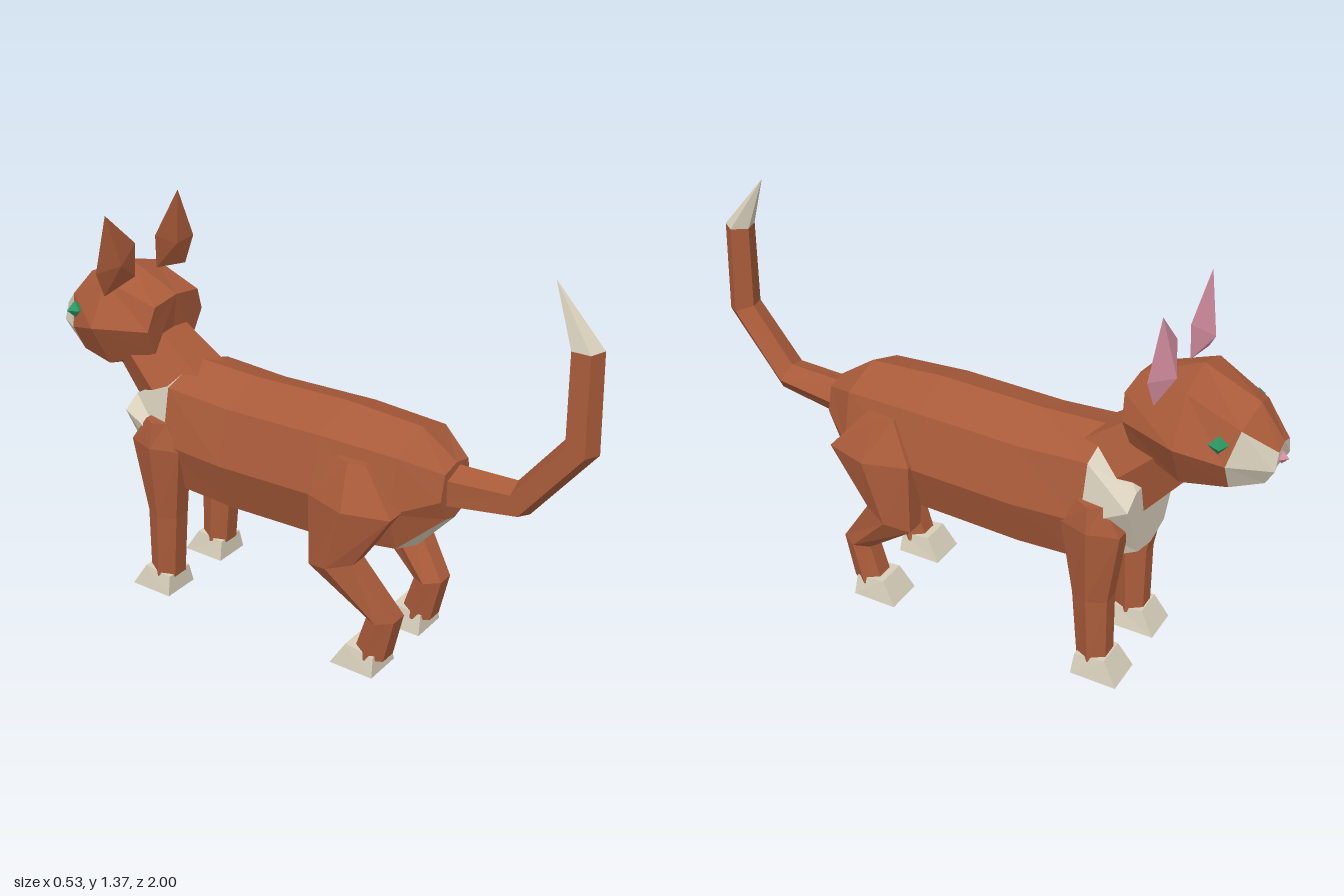
import * as THREE from 'three';

const paint = (name, color) => {
  const m = new THREE.MeshStandardMaterial({ color });
  m.name = name;
  return m;
};

// Closed faceted skin through rings of equal length; pick(i, j) gives the material index
// of side j in segment i (caps: i = -1 at the start, i = -2 at the end)
function loft(name, rings, mats, pick = () => 0) {
  const tris = [];
  const n = rings[0].length, last = rings.length - 1;
  const add = (a, b, c, m) => tris.push({ p: [a, b, c], m });
  for (let i = 0; i < last; i++) {
    for (let j = 0; j < n; j++) {
      const k = (j + 1) % n, m = pick(i, j);
      add(rings[i][j], rings[i][k], rings[i + 1][k], m);
      add(rings[i][j], rings[i + 1][k], rings[i + 1][j], m);
    }
  }
  for (let j = 1; j < n - 1; j++) {
    add(rings[0][0], rings[0][j + 1], rings[0][j], pick(-1, j));
    add(rings[last][0], rings[last][j], rings[last][j + 1], pick(-2, j));
  }
  // Turn every face outward using the enclosed volume
  let volume = 0;
  for (const t of tris) volume += t.p[0].dot(t.p[1].clone().cross(t.p[2]));
  const geo = new THREE.BufferGeometry();
  const points = [];
  mats.forEach((_, m) => {
    const start = points.length;
    for (const t of tris) {
      const area = t.p[1].clone().sub(t.p[0]).cross(t.p[2].clone().sub(t.p[0])).length();
      if (t.m !== m || area < 1e-7) continue;
      points.push(...(volume < 0 ? [t.p[0], t.p[2], t.p[1]] : t.p));
    }
    geo.addGroup(start, points.length - start, m);
  });
  geo.setFromPoints(points);
  geo.computeVertexNormals();
  const mesh = new THREE.Mesh(geo, mats.length > 1 ? mats : mats[0]);
  mesh.name = name;
  return mesh;
}

const V = (x, y, z) => new THREE.Vector3(x, y, z);

// Regular ring: rx across x, rv along a direction tilted up from +z
function ring(n, x, y, z, rx, rv, tilt = 0) {
  return Array.from({ length: n }, (_, i) => {
    const a = (i / n) * Math.PI * 2, v = rv * Math.sin(a);
    return V(x + rx * Math.cos(a), y + v * Math.sin(tilt), z + v * Math.cos(tilt));
  });
}

// Mirrored eight-point ring from top, shoulder, side, low and bottom points [x, y, dz]
function section(z, half) {
  const right = half.map(([x, y, dz = 0]) => V(x, y, z + dz));
  const left = right.slice(1, 4).reverse().map((p) => V(-p.x, p.y, p.z));
  return [...right, ...left];
}

export function createModel() {
  const fur = paint('russet fur', 0xa95b3a);
  const cream = paint('cream fur', 0xd8cfbb);
  const pink = paint('pink skin', 0xd68fa2);
  const green = paint('green eyes', 0x2a9862);
  const cat = new THREE.Group();
  cat.name = 'cat';

  // Body with cream belly and chest
  cat.add(loft('body', [
    section(0.555, [[0, 0.73], [0.07, 0.715], [0.09, 0.63], [0.05, 0.555], [0, 0.54]]),
    section(0.43, [[0, 0.815], [0.145, 0.765], [0.18, 0.59], [0.135, 0.45], [0, 0.4]]),
    section(0.16, [[0, 0.83], [0.16, 0.772], [0.205, 0.585], [0.145, 0.412], [0, 0.355]]),
    section(-0.2, [[0, 0.82], [0.16, 0.762], [0.205, 0.575], [0.145, 0.4], [0, 0.34]]),
    section(-0.44, [[0, 0.828], [0.16, 0.775], [0.2, 0.585], [0.145, 0.412], [0, 0.355]]),
    section(-0.595, [[0, 0.7], [0.14, 0.71], [0.2, 0.67], [0.1, 0.47], [0, 0.445]]),
  ], [fur, cream], (i, j) => (i === 4 || i === -2 || (i >= 0 && (j === 3 || j === 4)) ? 1 : 0)));

  // Neck
  cat.add(loft('neck', [
    ring(6, 0, 0.695, -0.48, 0.15, 0.168, 0.71),
    ring(6, 0, 0.85, -0.65, 0.12, 0.135, 0.8),
  ], [fur]));

  // Head with cream muzzle
  cat.add(loft('head', [
    section(-0.535, [[0, 1.035, 0.01], [0.11, 1.02, 0.01], [0.14, 0.94], [0.1, 0.85, -0.01], [0, 0.84, -0.02]]),
    section(-0.72, [[0, 1.12], [0.13, 1.08], [0.21, 0.935], [0.13, 0.785], [0, 0.75]]),
    section(-0.87, [[0, 1.04, -0.03], [0.11, 0.995, -0.015], [0.15, 0.89, 0.01], [0.1, 0.795, 0.01], [0, 0.77]]),
    section(-0.98, [[0, 0.935], [0.045, 0.92], [0.065, 0.865], [0.05, 0.81, 0.03], [0, 0.795, 0.04]]),
  ], [fur, cream], (i, j) => (i === -2 || (i === 2 && j > 0 && j < 7) ? 1 : 0)));

  // Nose
  const nose = new THREE.Mesh(new THREE.OctahedronGeometry(0.022), pink);
  nose.name = 'nose';
  nose.position.set(0, 0.88, -0.977);
  cat.add(nose);

  // Tail and tip
  const tailEnd = ring(5, 0, 1.19, 0.938, 0.05, 0.05);
  cat.add(loft('tail', [
    ring(5, 0, 0.64, 0.5, 0.07, 0.075, -1.5),
    ring(5, 0, 0.67, 0.775, 0.06, 0.058, -1.15),
    ring(5, 0, 0.89, 0.948, 0.055, 0.055, -0.3),
    tailEnd,
  ], [fur]));
  cat.add(loft('tailTip', [tailEnd, tailEnd.map(() => V(0, 1.37, 0.83))], [cream]));

  for (const s of [1, -1]) {
    const side = s > 0 ? 'left' : 'right';

    // Ear: pink inside, furry back
    const rim = [[0.18, 1.325, -0.655], [0.245, 1.15, -0.648], [0.205, 1.06, -0.655],
      [0.055, 1.085, -0.655], [0.05, 1.2, -0.65]].map(([x, y, z]) => V(s * x, y, z));
    cat.add(loft(side + 'Ear', [
      rim.map(() => V(s * 0.145, 1.13, -0.695)), rim, rim.map(() => V(s * 0.14, 1.15, -0.633)),
    ], [fur, pink], (i) => (i === 0 ? 1 : 0)));

    // Eye
    const eye = new THREE.Mesh(new THREE.OctahedronGeometry(0.03), green);
    eye.name = side + 'Eye';
    eye.position.set(s * 0.158, 0.962, -0.838);
    eye.rotation.y = s * 0.4;
    cat.add(eye);

    // Legs: [x, y, z, rx, rz, tilt] from top to ankle
    const legs = {
      FrontLeg: [[0.17, 0.66, -0.47, 0.045, 0.05], [0.165, 0.57, -0.475, 0.065, 0.115],
        [0.148, 0.3, -0.475, 0.06, 0.07], [0.145, 0.06, -0.488, 0.058, 0.06]],
      HindLeg: [[0.155, 0.73, 0.29, 0.045, 0.06], [0.175, 0.595, 0.31, 0.09, 0.173],
        [0.185, 0.37, 0.245, 0.065, 0.1, 0.3], [0.145, 0.2, 0.405, 0.06, 0.06, 0.15],
        [0.145, 0.05, 0.365, 0.06, 0.064]],
    };
    for (const [part, rows] of Object.entries(legs)) {
      cat.add(loft(side + part, rows.map(([x, ...r]) => ring(6, s * x, ...r)), [fur]));
    }

    // Paws with a sloping toe
    for (const [part, z] of [['FrontPaw', -0.435], ['HindPaw', 0.402]]) {
      const quad = (x0, x1, y0, y1, z0, z1) =>
        [V(s * x0, y0, z0), V(s * x1, y0, z0), V(s * x1, y1, z1), V(s * x0, y1, z1)];
      cat.add(loft(side + part, [
        quad(0.077, 0.213, 0, 0, z, z - 0.16),
        quad(0.093, 0.198, 0.07, 0.082, z - 0.005, z - 0.11),
      ], [cream]));
    }
  }
  return cat;
}
